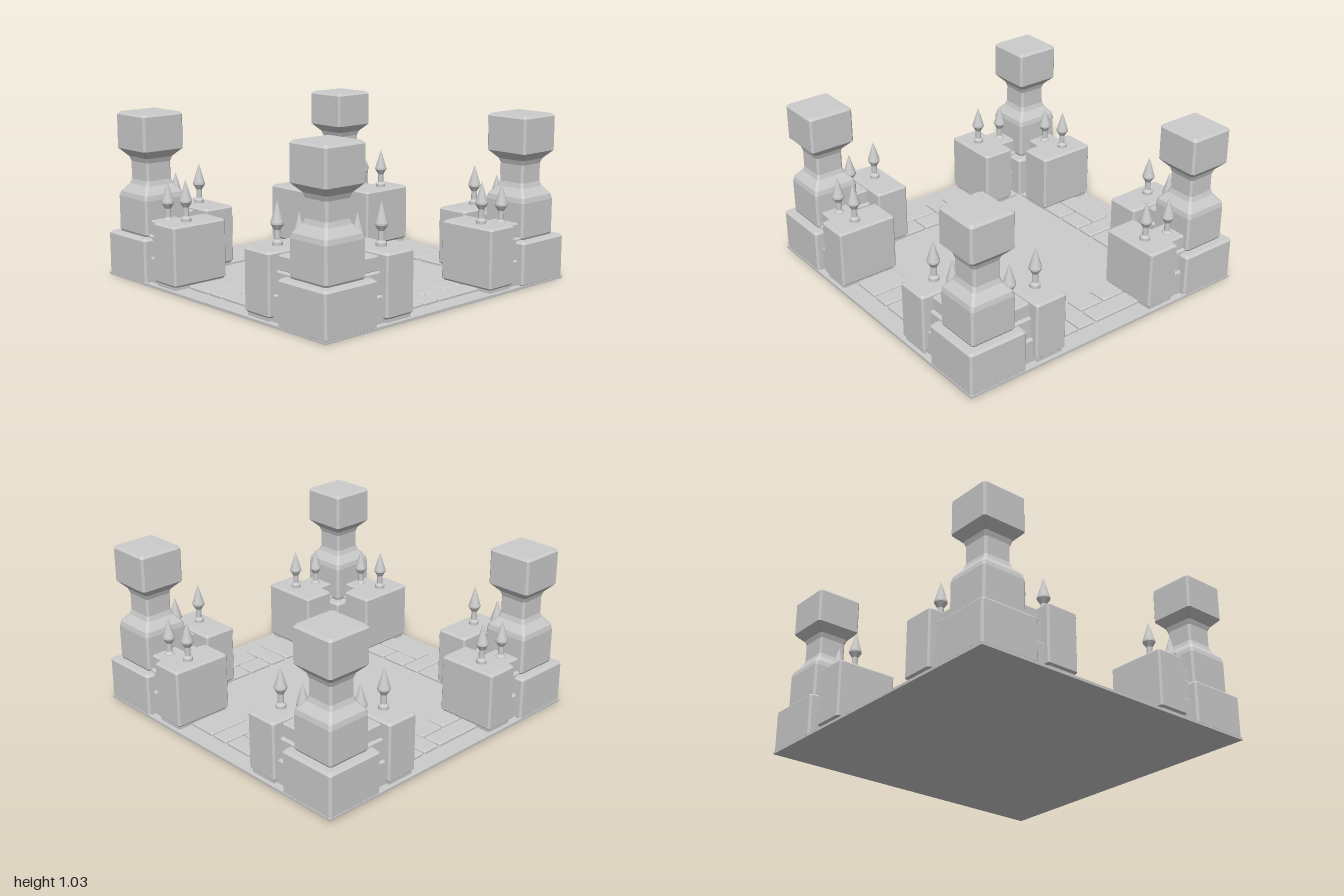
import * as THREE from 'three';

const material = new THREE.MeshStandardMaterial({ color: 0xcccccc, flatShading: true });

// Loft of rectangles with cut corners; levels are [halfX, halfZ, y] from bottom to top
function loft(levels, cut) {
  const positions = [], index = [];
  for (const [a, b, y] of levels) {
    const ring = [[a, b - cut], [a, cut - b], [a - cut, -b], [cut - a, -b],
      [-a, cut - b], [-a, b - cut], [cut - a, b], [a - cut, b]];
    for (const [x, z] of ring) positions.push(x, y, z);
  }
  for (let i = 0; i < levels.length - 1; i++) {
    for (let j = 0; j < 8; j++) {
      const p = i * 8 + j, q = i * 8 + (j + 1) % 8;
      index.push(p, q, q + 8, p, q + 8, p + 8);
    }
  }
  const top = (levels.length - 1) * 8;
  for (let j = 1; j < 7; j++) {
    index.push(0, j + 1, j);
    index.push(top, top + j, top + j + 1);
  }
  const geometry = new THREE.BufferGeometry();
  geometry.setAttribute('position', new THREE.Float32BufferAttribute(positions, 3));
  geometry.setIndex(index);
  const flat = geometry.toNonIndexed();
  flat.computeVertexNormals();
  return flat;
}

function part(name, geometry, x = 0, y = 0, z = 0) {
  const mesh = new THREE.Mesh(geometry, material);
  mesh.name = name;
  mesh.position.set(x, y, z);
  return mesh;
}

// Block with bevelled edges given by its limits
function block(name, x0, x1, y0, y1, z0, z1, bevel) {
  const a = (x1 - x0) / 2, b = (z1 - z0) / 2;
  const levels = [[a - bevel, b - bevel, y0], [a, b, y0 + bevel],
    [a, b, y1 - bevel], [a - bevel, b - bevel, y1]];
  return part(name, loft(levels, bevel * 0.9), (x0 + x1) / 2, 0, (z0 + z1) / 2);
}

// Square pillar with a narrow waist
function pillar() {
  const profile = [[0.135, 0.27], [0.147, 0.295], [0.147, 0.505], [0.14, 0.535], [0.1, 0.585],
    [0.09, 0.615], [0.09, 0.725], [0.1, 0.755], [0.147, 0.805], [0.147, 1.015], [0.133, 1.03]];
  return part('pillar', loft(profile.map(([r, y]) => [r, r, y]), 0.013), 0.803, 0, 0.803);
}

// Turned spike, standing on y = 0
const spikeProfile = [[0.031, 0], [0.031, 0.022], [0.018, 0.036], [0.018, 0.09],
  [0.038, 0.122], [0.038, 0.132], [0, 0.258]].map(([r, y]) => new THREE.Vector2(r, y));
const spikeGeometry = new THREE.LatheGeometry(spikeProfile, 16);

// Paving stones of one side: [x0, x1, z0, z1]
const stones = [
  [-0.6, -0.34, 0.62, 0.75], [-0.6, -0.34, 0.76, 0.885],
  [-0.33, -0.14, 0.62, 0.885], [-0.13, -0.01, 0.62, 0.885],
  [0, 0.17, 0.62, 0.75], [0.18, 0.34, 0.62, 0.75], [0, 0.34, 0.76, 0.885],
  [0.35, 0.47, 0.62, 0.885], [0.48, 0.6, 0.62, 0.885],
];

// One side with its right-hand corner; four of these close the square
function createSide() {
  const side = new THREE.Group();
  side.name = 'side';
  side.add(block('pillarBase', 0.612, 0.998, 0.004, 0.283, 0.612, 0.998, 0.014), pillar());

  for (const [x0, x1, z0, z1] of stones) {
    side.add(block('pavingStone', x0, x1, 0.004, 0.036, z0, z1, 0.008));
  }

  for (const s of [-1, 1]) {
    const x = s * 0.43;
    side.add(block('gatePost', x - 0.107, x + 0.107, 0.036, 0.405, 0.6, 0.988, 0.012));
    side.add(part('gatePostFoot', new THREE.BoxGeometry(0.18, 0.04, 0.36), x, 0.025, 0.795));
    // Stepped wall courses between gate post and pillar
    const courses = [[0.01, 0.17, 0.13], [0.165, 0.3, 0.11], [0.295, 0.386, 0.09]];
    for (const [y0, y1, half] of courses) {
      side.add(block('wallCourse', s * 0.59 - 0.085, s * 0.59 + 0.085, y0, y1, 0.825 - half, 0.825 + half, 0.008));
    }
    side.add(part('gatePostSpike', spikeGeometry, s * 0.42, 0.402, 0.825));
    side.add(part('wallSpike', spikeGeometry, s * 0.603, 0.367, 0.825));
  }
  return side;
}

export function createModel() {
  const model = new THREE.Group();
  model.name = 'courtyard';
  model.add(part('floor', new THREE.BoxGeometry(2, 0.016, 2), 0, 0.008, 0));
  for (let i = 0; i < 4; i++) {
    const side = createSide();
    side.rotation.y = i * Math.PI / 2;
    model.add(side);
  }
  return model;
}
